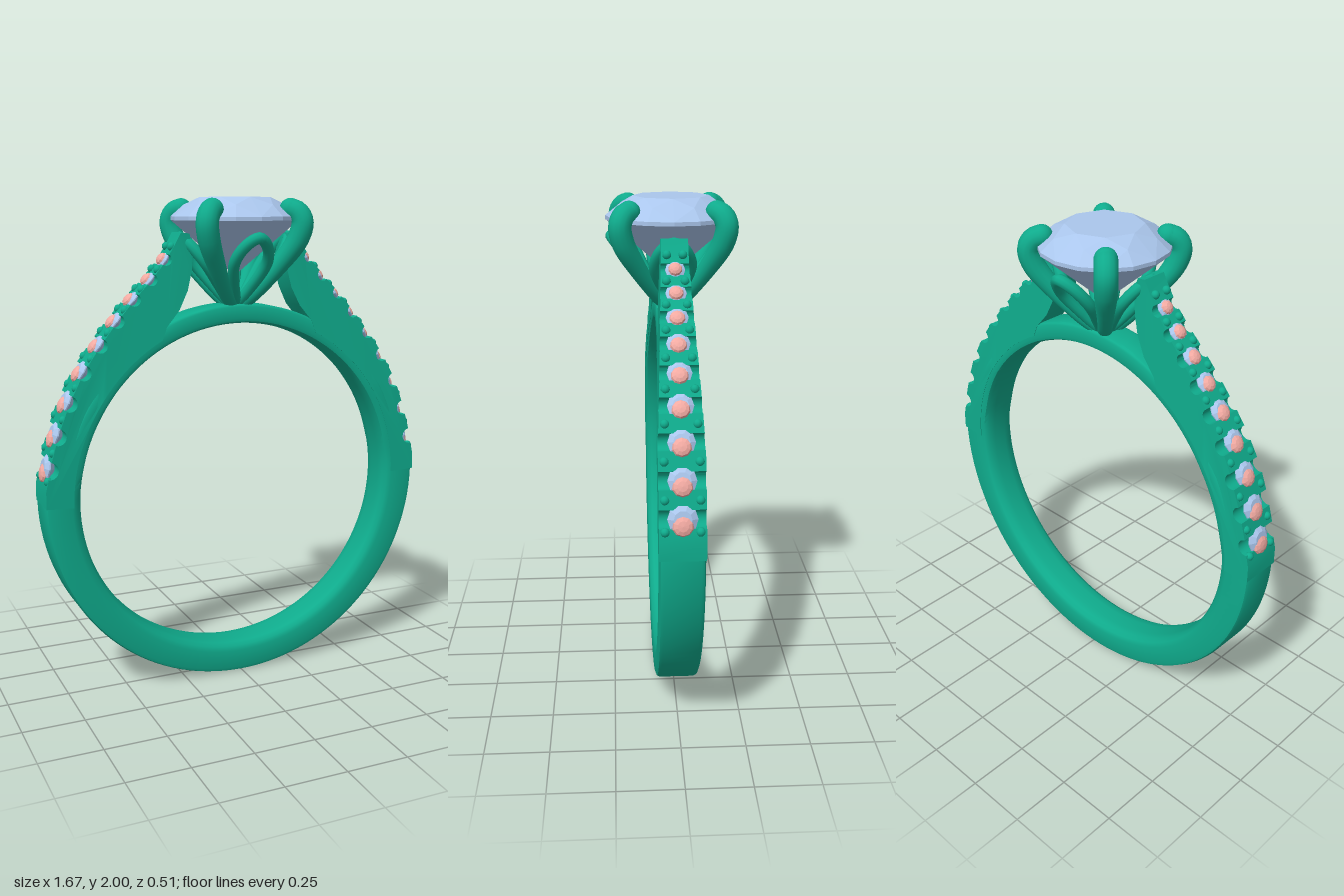
import * as THREE from 'three';
import { toCreasedNormals } from 'three/addons/utils/BufferGeometryUtils.js';
import { ConvexGeometry } from 'three/addons/geometries/ConvexGeometry.js';

const V = (x, y, z = 0) => new THREE.Vector3(x, y, z);
const metal = new THREE.MeshStandardMaterial({ color: 0x0fab8c });
const stone = new THREE.MeshStandardMaterial({ color: 0xaac6ec, flatShading: true });
const pink = new THREE.MeshStandardMaterial({ color: 0xf2aaa2, flatShading: true });
const CY = 0.815; // height of the ring's centre

function add(parent, name, geometry, material) {
  const mesh = new THREE.Mesh(geometry, material);
  mesh.name = name;
  parent.add(mesh);
  return mesh;
}

// half depth of the ring, narrowing towards the top
const halfDepth = y => 0.083 - 0.033 * THREE.MathUtils.clamp((y - 1.2) / 0.6, 0, 1);

// closed hoop: a rounded cross-section carried around the circle
function bandGeometry() {
  const half = [[1, 0.8], [0.96, 0.94], [0.86, 1], [0.28, 1], [0.12, 0.93], [0.03, 0.72], [0, 0.35]];
  const section = [...half, ...half.map(([s, z]) => [s, -z]).reverse()];
  const n = 128, m = section.length, pos = [], idx = [];
  for (let i = 0; i < n; i++) {
    const a = (i / n) * Math.PI * 2, c = Math.cos(a), s = Math.sin(a);
    const outer = s < 0 ? 0.83 + 0.015 * s : 0.83 - 0.065 * THREE.MathUtils.smoothstep(s, 0.05, 0.25);
    for (const [k, z] of section) {
      const r = THREE.MathUtils.lerp(0.685, outer, k);
      pos.push(r * c, CY + r * s, z * halfDepth(CY + r * s));
    }
    for (let j = 0; j < m; j++) {
      const a0 = i * m + j, b0 = i * m + (j + 1) % m;
      const a1 = ((i + 1) % n) * m + j, b1 = ((i + 1) % n) * m + (j + 1) % m;
      idx.push(a0, a1, b0, b0, a1, b1);
    }
  }
  const g = new THREE.BufferGeometry();
  g.setAttribute('position', new THREE.Float32BufferAttribute(pos, 3));
  g.setIndex(idx);
  return toCreasedNormals(g, 0.75);
}

// tube whose radius changes along its length
function taperedTube(curve, radiusAt, steps = 40, sides = 14) {
  const g = new THREE.TubeGeometry(curve, steps, 1, sides);
  const p = g.attributes.position, v = V(0, 0);
  for (let i = 0; i < p.count; i++) {
    const u = Math.floor(i / (sides + 1)) / steps, c = curve.getPointAt(u);
    v.fromBufferAttribute(p, i).sub(c).multiplyScalar(radiusAt(u)).add(c);
    p.setXYZ(i, v.x, v.y, v.z);
  }
  return g;
}

// round brilliant: table, crown, girdle and pointed pavilion
function centreStoneGeometry() {
  const pts = [V(0, 1.69)];
  const ring = (n, r, y, turn) => {
    for (let i = 0; i < n; i++) {
      const a = ((i + turn) / n) * Math.PI * 2;
      pts.push(V(r * Math.cos(a), y, r * Math.sin(a)));
    }
  };
  ring(8, 0.15, 2, 0);
  ring(8, 0.205, 1.97, 0.5);
  ring(16, 0.257, 1.925, 0);
  ring(16, 0.257, 1.91, 0);
  return new ConvexGeometry(pts);
}

// one cathedral shoulder on the +x side, with its small stones
function shoulder() {
  const group = new THREE.Group();
  const seats = [[0.808, 0.97], [0.771, 1.1], [0.722, 1.225], [0.66, 1.34], [0.59, 1.44],
    [0.518, 1.53], [0.447, 1.61], [0.375, 1.685], [0.312, 1.76]].map(([x, y]) => V(x, y));
  const ends = [V(0.83, 0.82), ...seats, V(0.255, 1.86)];
  const frames = seats.map((c, i) => {
    const t = ends[i + 2].clone().sub(ends[i]).normalize();
    return { c, t, n: V(t.y, -t.x), r: 0.055 - 0.0022 * i };
  });

  // outline with a scallop at every stone
  const outline = [[0.83, 0.82], [0.829, 0.89]];
  for (const { c, t, n, r } of frames) {
    for (let k = 0; k <= 10; k++) {
      const a = (k / 10) * Math.PI, R = r * 0.62;
      const p = c.clone().addScaledVector(t, -R * Math.cos(a)).addScaledVector(n, 0.002 - R * Math.sin(a));
      outline.push([p.x, p.y]);
    }
  }
  outline.push([0.275, 1.82], [0.25, 1.865], [0.215, 1.86], [0.202, 1.8], [0.208, 1.72],
    [0.228, 1.64], [0.265, 1.565], [0.32, 1.5]);
  for (let k = 0; k <= 20; k++) {
    const a = (1 - k / 20) * 1.08;
    outline.push([0.72 * Math.cos(a), CY + 0.72 * Math.sin(a)]);
  }
  const shape = new THREE.Shape(outline.map(([x, y]) => new THREE.Vector2(x, y)));
  const g = new THREE.ExtrudeGeometry(shape, { depth: 2, bevelEnabled: false, steps: 1 });
  g.translate(0, 0, -1);
  const p = g.attributes.position;
  for (let i = 0; i < p.count; i++) p.setZ(i, p.getZ(i) * (halfDepth(p.getY(i)) + 0.0015));
  add(group, 'shoulder', toCreasedNormals(g, 0.5), metal);

  // small stones, each with a pink facet cap
  const gem = new THREE.LatheGeometry([[0, -0.8], [1, -0.06], [1, 0.04], [0.6, 0.3], [0, 0.3]]
    .map(([x, y]) => new THREE.Vector2(x, y)), 10);
  const cap = new THREE.SphereGeometry(1, 10, 6);
  frames.forEach(({ c, t, n, r }, i) => {
    const turn = new THREE.Quaternion().setFromUnitVectors(V(0, 1), n);
    const a = add(group, 'smallStone', gem, stone);
    a.position.copy(c).addScaledVector(n, -0.004);
    a.quaternion.copy(turn);
    a.scale.setScalar(r);
    const b = add(group, 'pinkStone', cap, pink);
    b.position.copy(c).addScaledVector(n, 0.004).addScaledVector(t, -0.022 * (1 - i / 8));
    b.quaternion.copy(turn);
    b.scale.set(r * 0.72, 0.017, r * 0.72);
  });

  // pairs of holding beads between the stones
  const bead = new THREE.SphereGeometry(0.017, 10, 8);
  for (let i = 1; i < ends.length; i++) {
    const m = ends[i].clone().lerp(ends[i - 1], i === 1 ? 0.3 : 0.5);
    for (const s of [-1, 1]) {
      add(group, 'bead', bead, metal).position.set(m.x, m.y, s * (halfDepth(m.y) - 0.02));
    }
  }
  return group;
}

export function createModel() {
  const model = new THREE.Group();
  model.name = 'ring';
  add(model, 'band', bandGeometry(), metal);

  for (const side of [0, 1]) {
    const s = shoulder();
    s.name = side ? 'rightShoulder' : 'leftShoulder';
    s.rotation.y = side * Math.PI;
    model.add(s);
  }

  add(model, 'centreStone', centreStoneGeometry(), stone);

  // basket: four diagonal prongs and four pointed loops between them
  const basket = new THREE.Group();
  basket.name = 'basket';
  model.add(basket);
  const prongPath = new THREE.CatmullRomCurve3([V(0.015, 1.565), V(0.1, 1.635), V(0.195, 1.74),
    V(0.268, 1.84), V(0.285, 1.905), V(0.265, 1.94), V(0.235, 1.952)]);
  const prongRadius = u => 0.03 + 0.014 * THREE.MathUtils.smoothstep(u, 0.2, 0.8);
  const prong = taperedTube(prongPath, prongRadius);
  const tip = new THREE.SphereGeometry(0.044, 16, 12);
  const loopHalf = [[0, 1.575, 0.02], [0.04, 1.655, 0.085], [0.07, 1.75, 0.16], [0.045, 1.815, 0.21]];
  const loopPath = new THREE.CatmullRomCurve3([...loopHalf.map(a => V(...a)), V(0, 1.845, 0.235),
    ...loopHalf.map(([x, y, z]) => V(-x, y, z)).reverse()]);
  const loop = new THREE.TubeGeometry(loopPath, 56, 0.023, 10);
  for (let i = 0; i < 4; i++) {
    const arm = new THREE.Group();
    arm.name = 'prong';
    arm.rotation.y = Math.PI / 4 + i * Math.PI / 2;
    add(arm, 'prongArm', prong, metal);
    add(arm, 'prongTip', tip, metal).position.set(0.235, 1.952, 0);
    basket.add(arm);
    add(basket, 'basketLoop', loop, metal).rotation.y = i * Math.PI / 2;
  }
  add(basket, 'basketBase', new THREE.SphereGeometry(0.048, 16, 12), metal).position.y = 1.565;
  return model;
}
